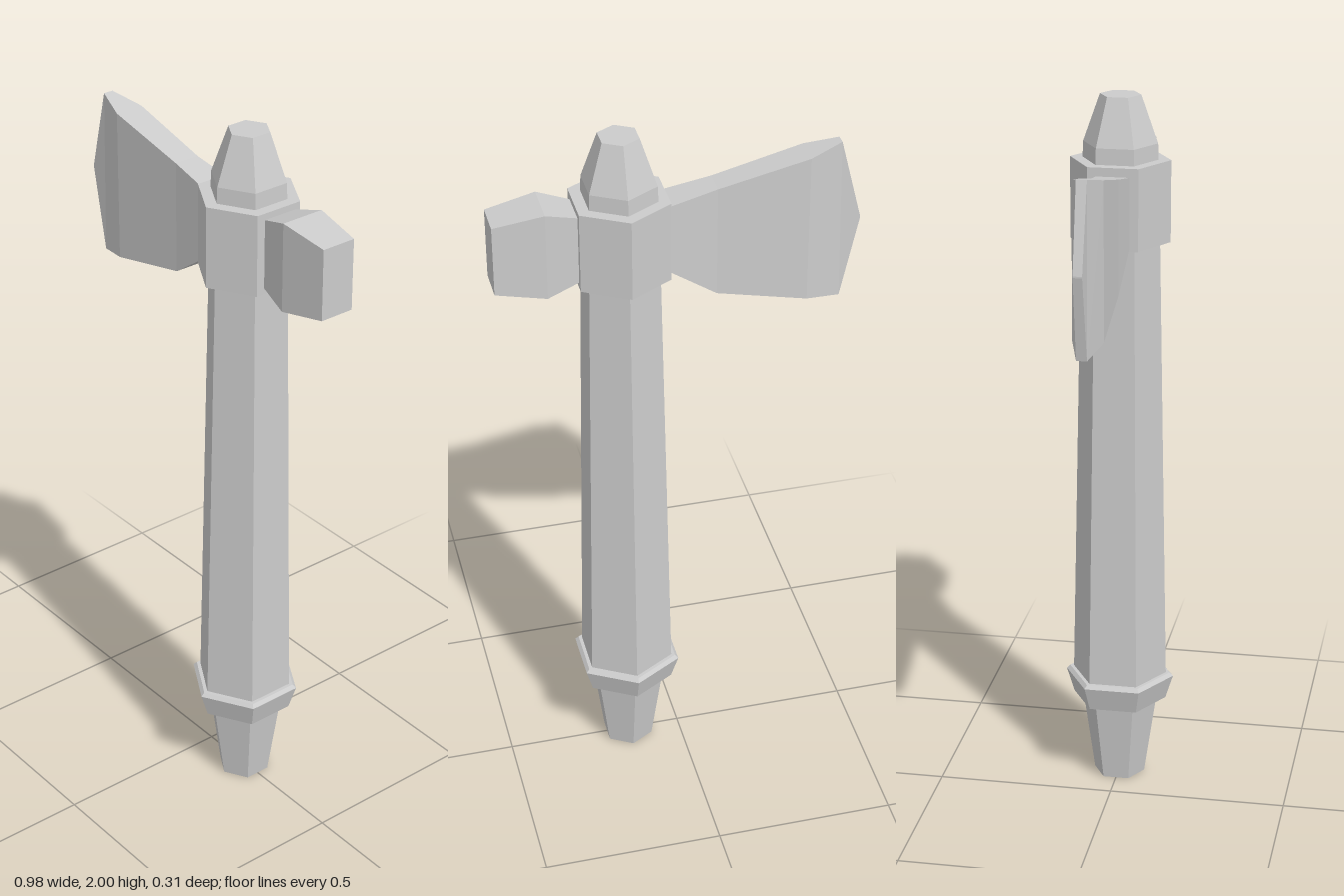
import * as THREE from 'three';

const AXIS_X = 0.15; // handle axis
const material = new THREE.MeshStandardMaterial({ color: 0xcccccc, flatShading: true });

function faceted(name, geometry) {
  const flat = geometry.index ? geometry.toNonIndexed() : geometry;
  flat.computeVertexNormals();
  const mesh = new THREE.Mesh(flat, material);
  mesh.name = name;
  return mesh;
}

// Closed six-sided turning from [radius, y] pairs, bottom to top
function hexTurned(name, profile) {
  const top = profile[profile.length - 1][1];
  const points = [[0, profile[0][1]], ...profile, [0, top]].map(([r, y]) => new THREE.Vector2(r, y));
  const mesh = faceted(name, new THREE.LatheGeometry(points, 6));
  mesh.position.x = AXIS_X;
  return mesh;
}

// Solid through rectangular sections, ordered by rising x:
// [x at top, x at bottom, bottom y, top y, half thickness, z centre]
function loft(name, sections) {
  const vertices = [];
  const index = [0, 2, 1, 0, 3, 2];
  sections.forEach(([xt, xb, y0, y1, h, z], i) => {
    vertices.push(xt, y1, z - h, xt, y1, z + h, xb, y0, z + h, xb, y0, z - h);
    if (i === sections.length - 1) return;
    for (let j = 0; j < 4; j++) {
      const a = i * 4 + j;
      const b = i * 4 + ((j + 1) % 4);
      index.push(a, b, a + 4, b, b + 4, a + 4);
    }
  });
  const e = (sections.length - 1) * 4;
  index.push(e, e + 1, e + 2, e, e + 2, e + 3);
  const geometry = new THREE.BufferGeometry();
  geometry.setAttribute('position', new THREE.Float32BufferAttribute(vertices, 3));
  geometry.setIndex(index);
  return faceted(name, geometry);
}

export function createModel() {
  const axe = new THREE.Group();
  axe.name = 'axe';

  // Handle, from pommel to cap
  axe.add(
    hexTurned('pommel', [[0.073, 0], [0.109, 0.25]]),
    hexTurned('lowerCollar', [[0.134, 0.24], [0.156, 0.31], [0.146, 0.32]]),
    hexTurned('shaft', [[0.135, 0.31], [0.109, 1.61]]),
    hexTurned('headCollar', [[0.138, 1.6], [0.138, 1.826]]),
    hexTurned('cap', [[0.104, 1.82], [0.102, 1.87], [0.056, 2]])
  );

  // Blade, from cutting edge in to the collar
  axe.add(loft('blade', [
    [-0.493, -0.493, 1.672, 1.676, 0.012, 0.006],
    [-0.435, -0.443, 1.442, 1.906, 0.014, 0.006],
    [-0.345, -0.345, 1.462, 1.885, 0.041, 0.004],
    [-0.1, -0.1, 1.515, 1.828, 0.036, 0.003],
    [0.04, 0.04, 1.615, 1.8, 0.046, 0]
  ]));

  // Hammer poll opposite the blade
  axe.add(loft('poll', [
    [0.26, 0.26, 1.62, 1.805, 0.047, -0.003],
    [0.355, 0.355, 1.59, 1.835, 0.062, -0.004],
    [0.49, 0.49, 1.615, 1.811, 0.049, -0.006]
  ]));

  return axe;
}
